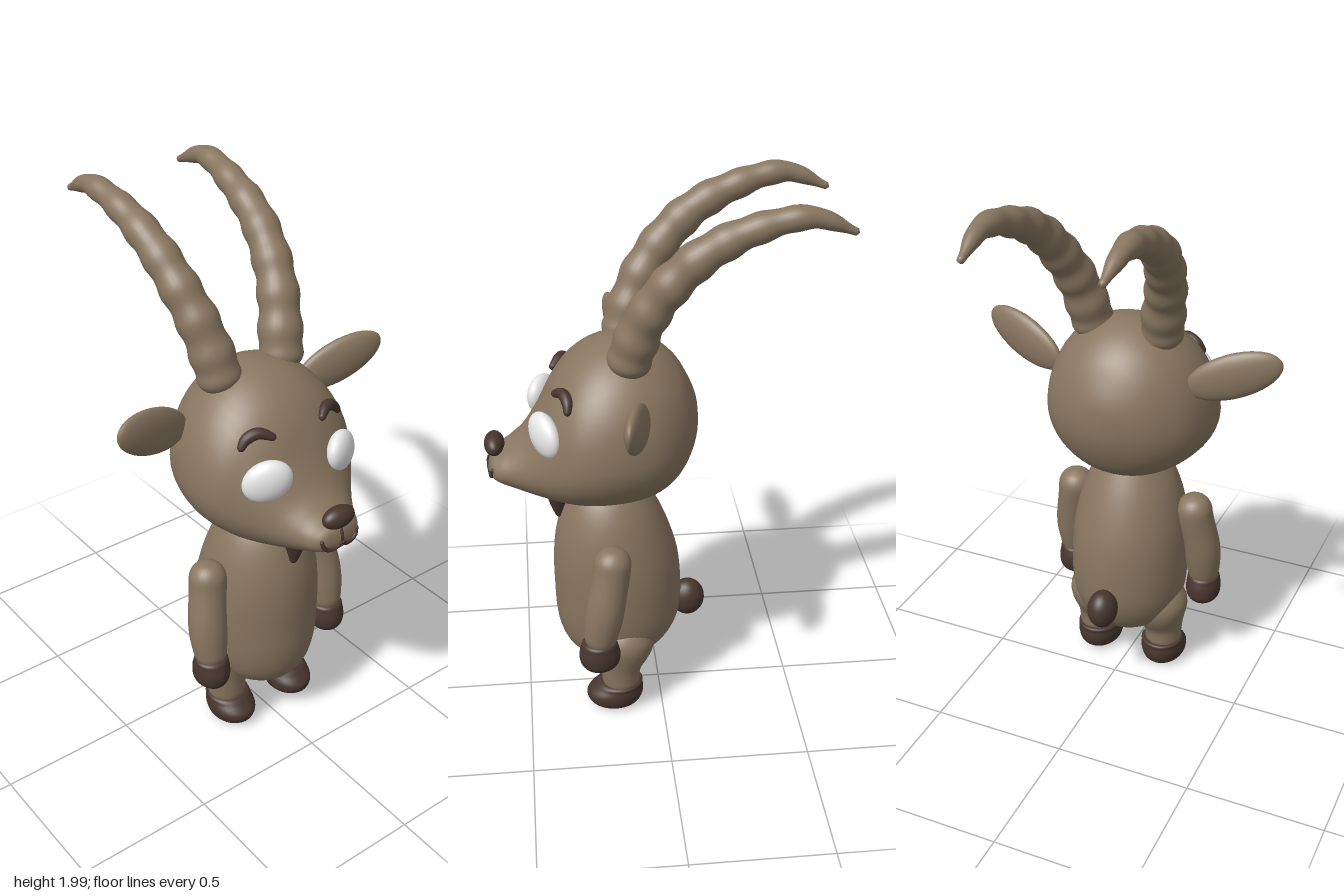
import * as THREE from 'three';
import { mergeVertices } from 'three/addons/utils/BufferGeometryUtils.js';

const mat = (name, color) => {
  const m = new THREE.MeshStandardMaterial({ color });
  m.name = name;
  return m;
};

// Smooth interpolation through rows of numbers, t in 0..1
function sample(rows, t) {
  const f = t * (rows.length - 1), i = Math.min(Math.floor(f), rows.length - 2), k = f - i;
  const a = rows[Math.max(i - 1, 0)], b = rows[i], c = rows[i + 1], d = rows[Math.min(i + 2, rows.length - 1)];
  return b.map((_, n) => b[n] + 0.5 * k * (c[n] - a[n] + k * (2 * a[n] - 5 * b[n] + 4 * c[n] - d[n]
    + k * (3 * (b[n] - c[n]) + d[n] - a[n]))));
}

function smooth(geo) {
  geo.deleteAttribute('uv');
  geo.deleteAttribute('normal');
  const g = mergeVertices(geo, 1e-5);
  g.computeVertexNormals();
  return g;
}

// Skin over cross-sections [position, half width, high, low, widest level] along z or y
function loft(rows, alongY, steps = 64, segs = 48) {
  const full = rows.map(r => r.length > 4 ? r : [...r, (r[2] + r[3]) / 2]);
  const pos = [], index = [];
  for (let i = 0; i <= steps; i++) {
    const [p, w, hi, lo, mid] = sample(full, i / steps);
    for (let j = 0; j < segs; j++) {
      const a = j / segs * Math.PI * 2, s = Math.sin(a);
      const v = mid + s * (s > 0 ? hi - mid : mid - lo), x = Math.cos(a) * Math.max(w, 0);
      pos.push(...(alongY ? [x, p, v] : [x, v, p]));
      if (i < steps) {
        const j2 = (j + 1) % segs, A = i * segs + j, B = i * segs + j2, C = A + segs, D = B + segs;
        index.push(...(alongY ? [A, C, B, B, C, D] : [A, B, C, B, D, C]));
      }
    }
  }
  const g = new THREE.BufferGeometry();
  g.setAttribute('position', new THREE.Float32BufferAttribute(pos, 3));
  g.setIndex(index);
  return smooth(g);
}

// Round-ended tube of changing radius
function limb(points, radii, n = 48, m = 24, ridge = () => 1) {
  const curve = new THREE.CatmullRomCurve3(points.map(p => new THREE.Vector3(...p)));
  const g = new THREE.TubeGeometry(curve, n, 1, m);
  const len = curve.getLength(), p = g.attributes.position, v = new THREE.Vector3();
  const rows = radii.map(r => [r]);
  for (let i = 0; i <= n; i++) {
    const u = i / n, c = curve.getPointAt(u);
    let r = sample(rows, u)[0] * ridge(u);
    const d = Math.min(u, 1 - u) * len / r;
    if (d < 1) r *= Math.sqrt(Math.max(0, 1 - (1 - d) ** 2));
    for (let j = 0; j <= m; j++) {
      const k = i * (m + 1) + j;
      v.fromBufferAttribute(p, k).sub(c).multiplyScalar(r).add(c);
      p.setXYZ(k, v.x, v.y, v.z);
    }
  }
  return smooth(g);
}

export function createModel() {
  const root = new THREE.Group();
  root.name = 'goat';
  const fur = mat('brown fur', 0x887660);
  const dark = mat('dark brown', 0x48362e);
  const white = mat('eye white', 0xf4f4f4);

  const add = (name, geo, material) => {
    const mesh = new THREE.Mesh(geo, material);
    mesh.name = name;
    root.add(mesh);
    return mesh;
  };
  const ball = (name, material, at, size, rot = [0, 0, 0]) => {
    const mesh = add(name, new THREE.SphereGeometry(1, 36, 24), material);
    mesh.position.set(...at);
    mesh.scale.set(...size);
    mesh.rotation.set(...rot);
  };

  // Head with muzzle
  const head = add('head', loft([
    [-0.14, 0, 1.17, 1.15, 1.16], [-0.132, 0.07, 1.24, 1.09, 1.16], [-0.105, 0.145, 1.31, 1.02, 1.15],
    [-0.06, 0.21, 1.385, 0.95, 1.14], [0.01, 0.27, 1.445, 0.9, 1.13], [0.1, 0.303, 1.48, 0.876, 1.12],
    [0.2, 0.314, 1.47, 0.87, 1.11], [0.29, 0.295, 1.42, 0.872, 1.1], [0.36, 0.25, 1.34, 0.882, 1.07],
    [0.42, 0.2, 1.225, 0.897, 1.04], [0.47, 0.16, 1.145, 0.912, 1.02], [0.52, 0.127, 1.1, 0.93, 1.01],
    [0.565, 0.102, 1.07, 0.948, 1.005], [0.593, 0.07, 1.05, 0.968, 1.005], [0.605, 0, 1.015, 1.005, 1.01],
  ], false, 84), fur);

  // Points on the face, found from the front
  const ray = new THREE.Raycaster();
  const onFace = (x, y, lift) => {
    ray.set(new THREE.Vector3(x, y, 2), new THREE.Vector3(0, 0, -1));
    const hit = ray.intersectObject(head)[0];
    return [x, y, (hit ? hit.point.z : 0.4) + lift];
  };

  // Torso
  add('torso', loft([
    [0.172, 0, 0.19, 0.18], [0.18, 0.07, 0.25, 0.1], [0.21, 0.135, 0.315, 0.02], [0.27, 0.187, 0.36, -0.04],
    [0.36, 0.214, 0.383, -0.078], [0.48, 0.221, 0.388, -0.083], [0.6, 0.217, 0.388, -0.072],
    [0.7, 0.203, 0.378, -0.045], [0.79, 0.178, 0.355, -0.01], [0.86, 0.145, 0.325, 0.025], [0.92, 0.1, 0.28, 0.06],
  ], true), fur);

  ball('tail', dark, [0, 0.38, -0.112], [0.056, 0.074, 0.064]);
  ball('nose', dark, [0, 1.085, 0.58], [0.064, 0.039, 0.036]);
  add('beard', limb([[0, 0.93, 0.36], [0, 0.87, 0.365], [0, 0.82, 0.365], [0, 0.768, 0.36]],
    [0.04, 0.042, 0.027, 0.012]), dark);
  add('lipLine', limb([1.06, 1.03, 1.0].map(y => onFace(0, y, 0.001)), [0.006, 0.006], 12, 8), dark);

  // Hand and hoof sections, shared by both sides
  const hand = [[0.272, 0, 0.245, 0.235], [0.28, 0.036, 0.285, 0.2], [0.305, 0.06, 0.308, 0.172],
    [0.34, 0.066, 0.315, 0.165], [0.375, 0.063, 0.308, 0.172], [0.398, 0.054, 0.295, 0.185], [0.405, 0, 0.245, 0.235]];
  const hoof = [[0.008, 0, 0.19, 0.18], [0.012, 0.05, 0.24, 0.115], [0.03, 0.076, 0.275, 0.085],
    [0.065, 0.086, 0.285, 0.072], [0.095, 0.082, 0.258, 0.074], [0.115, 0.073, 0.228, 0.08], [0.118, 0, 0.16, 0.15]];

  for (const s of [1, -1]) {
    const side = s > 0 ? 'left' : 'right';
    const flip = pts => pts.map(([x, y, z]) => [x * s, y, z]);

    // Ridged horn sweeping back
    add(side + 'Horn', limb(flip([[0.125, 1.39, 0.125], [0.14, 1.5, 0.095], [0.165, 1.62, 0.05], [0.19, 1.73, -0.02],
      [0.21, 1.84, -0.13], [0.222, 1.92, -0.28], [0.235, 1.96, -0.46], [0.23, 1.902, -0.617]]),
    [0.082, 0.075, 0.07, 0.065, 0.058, 0.047, 0.035, 0.012], 110, 28,
    u => 1 + 0.055 * Math.sin(u * Math.PI * 2 * 9)), fur);

    // Ear, eye and brow
    ball(side + 'Ear', fur, [0.4 * s, 1.33, 0.107], [0.175, 0.083, 0.034], [0, -0.25 * s, 0.36 * s]);
    ball(side + 'Eye', white, [0.157 * s, 1.192, 0.402], [0.088, 0.074, 0.042], [0, 0.5 * s, -0.5 * s]);
    add(side + 'Brow', limb([[0.213, 1.288], [0.185, 1.322], [0.145, 1.338], [0.095, 1.318]]
      .map(([x, y]) => onFace(x * s, y, 0.008)), [0.012, 0.02, 0.019, 0.012], 32, 14), dark);

    // Mouth curl
    add(side + 'Mouth', limb([[0, 1.003], [0.016, 0.984], [0.042, 0.979], [0.067, 0.993], [0.077, 1.024]]
      .map(([x, y]) => onFace(x * s, y, 0.001)), [0.007, 0.008, 0.007], 32, 8), dark);

    // Arm and hand
    add(side + 'Arm', limb(flip([[0.238, 0.775, 0.18], [0.247, 0.68, 0.19], [0.268, 0.54, 0.215], [0.272, 0.36, 0.245]]),
      [0.068, 0.068, 0.069, 0.055]), fur);
    add(side + 'Hand', loft(hand, true, 36, 32), dark).position.x = 0.272 * s;

    // Leg and hoof
    add(side + 'Leg', limb(flip([[0.115, 0.4, 0.13], [0.13, 0.28, 0.14], [0.14, 0.18, 0.155], [0.14, 0.06, 0.155]]),
      [0.09, 0.11, 0.075, 0.07]), fur);
    add(side + 'Hoof', loft(hoof, true, 36, 32), dark).position.x = 0.137 * s;
  }
  return root;
}
